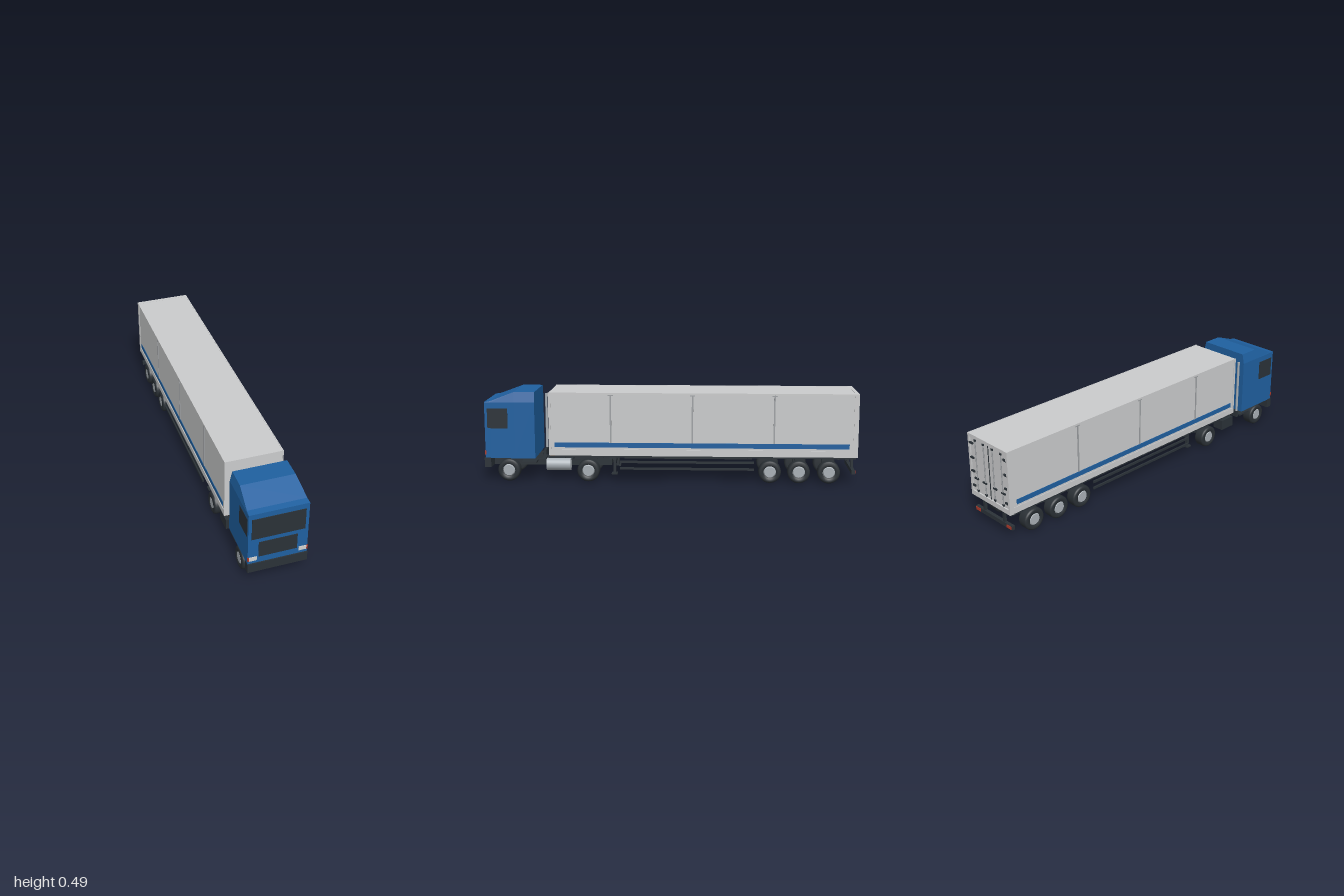
import * as THREE from 'three';

const mat = (name, color, side = THREE.FrontSide) => {
  const m = new THREE.MeshStandardMaterial({ color, side });
  m.name = name;
  return m;
};

export function createModel() {
  const blue = mat('cab blue', 0x1f60a0);
  const dark = mat('dark trim', 0x2b3238);
  const pale = mat('trailer grey', 0xcbcccd);
  const seam = mat('seam grey', 0x9fa2a5);
  const metal = mat('bare metal', 0xa9b0b6);
  const tyreMat = mat('tyre rubber', 0x2a3035);
  const red = mat('lamp red', 0xb03a2a);
  const lamp = mat('lamp white', 0xd2d2d0);
  const floorMat = mat('floor brown', 0x3a2a1c);

  const root = new THREE.Group();
  root.name = 'truckAndTrailer';
  const tractor = new THREE.Group();
  tractor.name = 'tractor';
  const trailer = new THREE.Group();
  trailer.name = 'trailer';
  root.add(tractor, trailer);

  const add = (parent, name, geo, material) => {
    const m = new THREE.Mesh(geo, material);
    m.name = name;
    parent.add(m);
    return m;
  };
  // Box given by its extents on each axis
  const box = (parent, name, material, [x0, x1], [y0, y1], [z0, z1]) => {
    const m = add(parent, name, new THREE.BoxGeometry(x1 - x0, y1 - y0, z1 - z0), material);
    m.position.set((x0 + x1) / 2, (y0 + y1) / 2, (z0 + z1) / 2);
    return m;
  };
  // The same box on the left and right sides
  const pair = (parent, name, material, [x0, x1], ys, zs) => {
    box(parent, name + 'Left', material, [x0, x1], ys, zs);
    box(parent, name + 'Right', material, [-x1, -x0], ys, zs);
  };
  const rod = (parent, name, material, r, len, axis, x, y, z, sides = 12) => {
    const g = new THREE.CylinderGeometry(r, r, len, sides);
    if (axis === 'x') g.rotateZ(Math.PI / 2);
    if (axis === 'z') g.rotateX(Math.PI / 2);
    add(parent, name, g, material).position.set(x, y, z);
  };

  // Cab shell lofted from front to back: [z, roof height, roof half width]
  const sections = [
    [0.994, 0.432, 0.152], [0.962, 0.437, 0.15], [0.835, 0.485, 0.14], [0.725, 0.485, 0.14],
  ].map(([z, top, hw]) => [
    [-0.152, 0.126, z], [-0.152, 0.43, z], [-hw, top, z],
    [hw, top, z], [0.152, 0.43, z], [0.152, 0.126, z],
  ]);
  const verts = [];
  const tri = (...pts) => pts.forEach((p) => verts.push(...p));
  for (let s = 0; s < sections.length - 1; s++) {
    const f = sections[s], b = sections[s + 1];
    for (let i = 0; i < 6; i++) {
      const j = (i + 1) % 6;
      tri(f[i], f[j], b[i]);
      tri(f[j], b[j], b[i]);
    }
  }
  const last = sections[sections.length - 1];
  for (let i = 1; i < 5; i++) {
    tri(sections[0][0], sections[0][i + 1], sections[0][i]);
    tri(last[0], last[i], last[i + 1]);
  }
  const cabGeo = new THREE.BufferGeometry();
  cabGeo.setAttribute('position', new THREE.Float32BufferAttribute(verts, 3));
  cabGeo.computeVertexNormals();
  add(tractor, 'cab', cabGeo, blue);

  // Cab glass, grille, lamps and bumper
  box(tractor, 'windscreen', dark, [-0.135, 0.135], [0.28, 0.402], [0.99, 0.997]);
  box(tractor, 'grille', dark, [-0.098, 0.098], [0.165, 0.255], [0.99, 0.997]);
  pair(tractor, 'sideWindow', dark, [0.147, 0.1535], [0.29, 0.398], [0.87, 0.98]);
  pair(tractor, 'headlight', lamp, [0.107, 0.146], [0.146, 0.168], [0.99, 0.998]);
  pair(tractor, 'indicator', red, [0.146, 0.1535], [0.146, 0.168], [0.99, 0.998]);
  box(tractor, 'frontBumper', dark, [-0.153, 0.153], [0.076, 0.128], [0.965, 1]);

  // Tractor chassis
  pair(tractor, 'chassisRail', dark, [0.045, 0.059], [0.072, 0.104], [0.32, 0.97]);
  [0.93, 0.7, 0.55, 0.33].forEach((z) =>
    box(tractor, 'chassisCrossmember', dark, [-0.05, 0.05], [0.075, 0.1], [z - 0.01, z + 0.01]));
  pair(tractor, 'cabMount', dark, [0.045, 0.059], [0.1, 0.128], [0.9, 0.93]);
  pair(tractor, 'cabStep', dark, [0.085, 0.145], [0.098, 0.108], [0.72, 0.8]);
  pair(tractor, 'stepArm', dark, [0.055, 0.09], [0.094, 0.102], [0.75, 0.77]);
  box(tractor, 'fifthWheelPlate', dark, [-0.075, 0.075], [0.112, 0.124], [0.365, 0.525]);
  pair(tractor, 'fifthWheelStand', dark, [0.045, 0.065], [0.1, 0.114], [0.4, 0.49]);
  rod(tractor, 'kingpin', dark, 0.018, 0.03, 'y', 0, 0.125, 0.44);
  rod(tractor, 'fuelTank', metal, 0.033, 0.13, 'z', 0.112, 0.088, 0.603, 24);
  box(tractor, 'batteryBox', dark, [-0.145, -0.08], [0.06, 0.118], [0.56, 0.655]);
  box(tractor, 'tankBracket', dark, [-0.09, 0.09], [0.085, 0.095], [0.59, 0.62]);
  rod(tractor, 'exhaustStack', metal, 0.007, 0.31, 'y', -0.13, 0.285, 0.705);
  box(tractor, 'exhaustBracket', dark, [-0.137, -0.05], [0.095, 0.132], [0.698, 0.712]);

  // Wheels: lathed tyre, pale rim and dark centre cap
  const tyreGeo = new THREE.LatheGeometry([
    [0, 0], [0.048, 0], [0.057, 0.004], [0.06, 0.01], [0.06, 0.05], [0.057, 0.056], [0.05, 0.06], [0.034, 0.06], [0.033, 0.052], [0, 0.052],
  ].map(([r, y]) => new THREE.Vector2(r, y)), 28).rotateZ(-Math.PI / 2);
  const rimGeo = new THREE.CylinderGeometry(0.028, 0.034, 0.008, 28).rotateZ(-Math.PI / 2);
  const axle = (parent, z) => {
    rod(parent, 'axle', dark, 0.01, 0.2, 'x', 0, 0.06, z);
    for (const s of [1, -1]) {
      const wheel = new THREE.Group();
      wheel.name = s > 0 ? 'wheelLeft' : 'wheelRight';
      add(wheel, 'tyre', tyreGeo, tyreMat);
      add(wheel, 'rim', rimGeo, metal).position.x = 0.055;
      wheel.position.set(s * 0.092, 0.06, z);
      if (s < 0) wheel.rotation.y = Math.PI;
      parent.add(wheel);
    }
    pair(parent, 'springHanger', dark, [0.046, 0.06], [0.06, 0.1], [z - 0.02, z + 0.02]);
  };
  [0.87, 0.44].forEach((z) => axle(tractor, z));
  const bogie = [-0.535, -0.69, -0.85];
  bogie.forEach((z) => {
    axle(trailer, z);
    pair(trailer, 'suspensionLink', dark, [0.048, 0.058], [0.095, 0.13], [z - 0.015, z + 0.015]);
  });

  // Trailer body, rails and curtain seams
  box(trailer, 'cargoBox', pale, [-0.15, 0.15], [0.143, 0.484], [-0.993, 0.648]);
  pair(trailer, 'lowerSill', pale, [0.148, 0.153], [0.145, 0.178], [-0.995, 0.65]);
  pair(trailer, 'topRail', pale, [0.148, 0.153], [0.475, 0.485], [-0.995, 0.65]);
  pair(trailer, 'frontPost', pale, [0.146, 0.153], [0.145, 0.485], [0.638, 0.65]);
  pair(trailer, 'rearPost', pale, [0.14, 0.153], [0.143, 0.485], [-1, -0.975]);
  box(trailer, 'rearHeader', pale, [-0.15, 0.15], [0.468, 0.485], [-1, -0.98]);
  box(trailer, 'rearSill', pale, [-0.15, 0.15], [0.143, 0.17], [-1, -0.98]);
  pair(trailer, 'blueStripe', blue, [0.149, 0.1525], [0.189, 0.215], [-0.955, 0.62]);
  [0.317, -0.12, -0.555].forEach((z) => {
    pair(trailer, 'curtainPost', seam, [0.149, 0.153], [0.215, 0.476], [z - 0.004, z + 0.004]);
    pair(trailer, 'postHead', seam, [0.149, 0.1525], [0.469, 0.476], [z - 0.014, z + 0.014]);
  });

  // Rear doors: centre gap, locking bars, hinges and latches
  box(trailer, 'doorGap', dark, [-0.002, 0.002], [0.17, 0.468], [-0.9955, -0.99]);
  for (const x of [0.035, 0.1]) {
    for (const s of [1, -1]) {
      rod(trailer, 'lockingBar', seam, 0.003, 0.305, 'y', s * x, 0.318, -0.996, 8);
      for (const y of [0.18, 0.458])
        box(trailer, 'barKeeper', dark, [s * x - 0.006, s * x + 0.006], [y - 0.005, y + 0.005], [-1, -0.992]);
    }
    pair(trailer, 'doorLatch', dark, [x - 0.008, x + 0.02], [0.242, 0.25], [-1, -0.992]);
  }
  for (const y of [0.2, 0.28, 0.355, 0.435])
    pair(trailer, 'doorHinge', dark, [0.118, 0.146], [y - 0.005, y + 0.005], [-1, -0.99]);

  // Underside frame
  box(trailer, 'floor', floorMat, [-0.146, 0.146], [0.138, 0.1435], [-0.985, 0.645]);
  pair(trailer, 'edgeRail', dark, [0.138, 0.148], [0.134, 0.144], [-0.99, 0.62]);
  pair(trailer, 'mainRail', dark, [0.045, 0.06], [0.125, 0.14], [-0.98, 0.55]);
  for (let z = -0.9; z < 0.4; z += 0.24)
    box(trailer, 'floorCrossmember', dark, [-0.14, 0.14], [0.13, 0.14], [z - 0.006, z + 0.006]);

  // Landing legs and side guards
  pair(trailer, 'landingLeg', dark, [0.1, 0.116], [0.042, 0.14], [0.293, 0.308]);
  pair(trailer, 'landingFoot', dark, [0.09, 0.126], [0.035, 0.043], [0.285, 0.316]);
  box(trailer, 'landingCrossbar', dark, [-0.11, 0.11], [0.088, 0.1], [0.296, 0.305]);
  for (const y of [0.073, 0.109])
    pair(trailer, 'sideGuardRail', dark, [0.138, 0.146], [y - 0.006, y + 0.006], [-0.45, 0.27]);

  // Rear underrun bar with lamps
  pair(trailer, 'underrunPost', dark, [0.07, 0.085], [0.06, 0.14], [-0.985, -0.972]);
  box(trailer, 'underrunBar', dark, [-0.145, 0.145], [0.052, 0.074], [-0.988, -0.97]);
  pair(trailer, 'tailLamp', red, [0.105, 0.14], [0.055, 0.071], [-0.991, -0.985]);

  return root;
}
